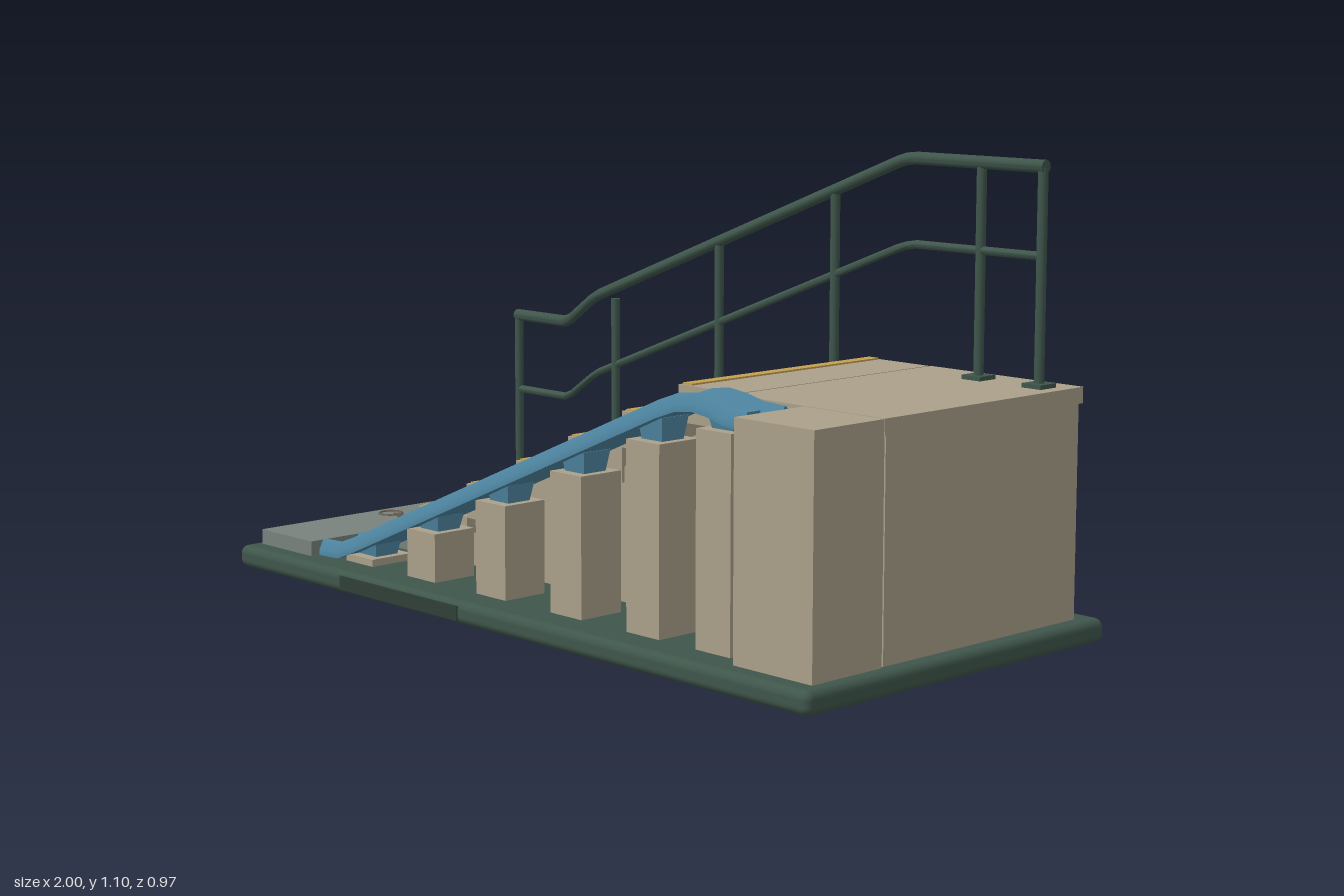
import * as THREE from 'three';
import { toCreasedNormals } from 'three/addons/utils/BufferGeometryUtils.js';
import { RoundedBoxGeometry } from 'three/addons/geometries/RoundedBoxGeometry.js';

const paint = (name, color) => Object.assign(new THREE.MeshStandardMaterial({ color }), { name });

// Sweeps a closed [z, y] profile along [x, y, zScale] stations, with end caps
function sweep(path, profile) {
  const n = profile.length;
  const pos = [];
  const index = [];
  path.forEach(([x, y, s = 1]) => profile.forEach(([pz, py]) => pos.push(x, y + py, pz * s)));
  for (let i = 0; i < path.length - 1; i++) {
    for (let j = 0; j < n; j++) {
      const k = (j + 1) % n;
      const a = i * n, b = a + n;
      index.push(a + j, b + j, b + k, a + j, b + k, a + k);
    }
  }
  const last = (path.length - 1) * n;
  const outline = profile.map(([z, y]) => new THREE.Vector2(z, y));
  THREE.ShapeUtils.triangulateShape(outline, []).forEach(([a, b, c]) => {
    index.push(a, b, c, last + a, last + c, last + b);
  });
  const geo = new THREE.BufferGeometry();
  geo.setAttribute('position', new THREE.Float32BufferAttribute(pos, 3));
  geo.setIndex(index);
  return toCreasedNormals(geo, 0.7);
}

const circle = (r, n = 14) => Array.from({ length: n }, (_, i) => {
  const a = (i / n) * Math.PI * 2;
  return [Math.cos(a) * r, Math.sin(a) * r];
});

export function createModel() {
  const model = new THREE.Group();
  model.name = 'stairWithBikeChannel';

  const green = paint('darkGreen', 0x3f564b);
  const stone = paint('sandStone', 0xaaa08a);
  const grey = paint('greyPaving', 0x78827c);
  const blue = paint('channelBlue', 0x4f87a3);
  const yellow = paint('nosingYellow', 0xc4a050);
  const brown = paint('symbolBrown', 0x6a6050);
  const dark = paint('plateDark', 0x2f4038);

  const add = (name, geo, mat, x = 0, y = 0, z = 0, parent = model) => {
    const mesh = new THREE.Mesh(geo, mat);
    mesh.name = name;
    mesh.position.set(x, y, z);
    parent.add(mesh);
    return mesh;
  };
  // Box given by its limits on each axis
  const block = (name, mat, x0, x1, y0, y1, z0, z1, parent = model) => add(name,
    new THREE.BoxGeometry(x1 - x0, y1 - y0, z1 - z0), mat,
    (x0 + x1) / 2, (y0 + y1) / 2, (z0 + z1) / 2, parent);
  const group = (name) => {
    const g = new THREE.Group();
    g.name = name;
    model.add(g);
    return g;
  };

  // Base with feet and a blank plate on the front edge
  add('base', new RoundedBoxGeometry(2, 0.055, 0.97, 4, 0.02), green, 0, 0.04, 0);
  for (const x of [-0.85, 0.85]) {
    for (const z of [-0.345, 0.345]) {
      block('foot', dark, x - 0.045, x + 0.045, 0, 0.02, z - 0.037, z + 0.037);
    }
  }
  block('frontPlate', dark, -0.57, -0.12, 0.023, 0.057, 0.48, 0.488);

  // Lower paving
  block('lowerPaving', grey, -0.97, -0.76, 0.06, 0.105, -0.44, 0.432);
  block('lowerPavingInner', grey, -0.76, -0.59, 0.06, 0.102, -0.42, 0.21);

  // Bicycle symbol: two wheels and a simple frame
  const symbol = group('bicycleSymbol');
  symbol.position.set(-0.873, 0.106, 0.065);
  for (const s of [-1, 1]) {
    const wheel = add('wheel', new THREE.TorusGeometry(0.03, 0.003, 6, 24), brown, s * 0.039, 0, 0, symbol);
    wheel.rotation.x = Math.PI / 2;
    const bar = add('frameBar', new THREE.BoxGeometry(0.05, 0.005, 0.005), brown, s * 0.02, 0, -0.012, symbol);
    bar.rotation.y = s * 0.6;
  }
  block('frameTopBar', brown, -0.025, 0.025, -0.002, 0.003, -0.003, 0.003, symbol);

  // Steps with nosing strips, each starting where the one below ends
  const steps = group('steps');
  for (let i = 0; i < 6; i++) {
    const x = -0.608 + i * 0.188;
    const top = 0.188 + i * 0.082;
    block('step', stone, x, x + 0.188, top - 0.085, top, -0.417, 0.21, steps);
    block('nosingStrip', yellow, x + 0.006, x + 0.036, top - 0.003, top + 0.004, -0.41, 0.203, steps);
  }

  // Sloped support under the steps
  const slope = new THREE.Shape([[-0.6, 0.06], [0.53, 0.06], [0.53, 0.553], [-0.6, 0.062]]
    .map(([x, y]) => new THREE.Vector2(x, y)));
  add('stairSupport', new THREE.ExtrudeGeometry(slope, { depth: 0.615, bevelEnabled: false }),
    stone, 0, 0, -0.412);

  // Upper landing
  block('landingBody', stone, 0.52, 0.96, 0.06, 0.565, -0.42, 0.215);
  block('landingSlab', stone, 0.52, 0.967, 0.56, 0.597, -0.426, 0.226);
  block('landingSide', stone, 0.735, 0.965, 0.06, 0.596, 0.225, 0.435);

  // Pillars and tapered brackets carrying the bike channel
  const channelZ = 0.337;
  const pillars = group('channelSupports');
  [[-0.61, 0.085, 0.125], [-0.365, 0.185, 0.222], [-0.105, 0.29, 0.333],
    [0.16, 0.395, 0.445], [0.415, 0.5, 0.554], [0.635, 0.55, 0.588]].forEach(([x, top, floor]) => {
    block('pillar', stone, x - 0.053, x + 0.053, 0.06, top, channelZ - 0.06, channelZ + 0.06, pillars);
    const bracket = add('bracket', new THREE.CylinderGeometry(0.057, 0.046, floor - top, 4, 1).toNonIndexed(),
      blue, x, (top + floor) / 2, channelZ, pillars);
    bracket.geometry.rotateY(Math.PI / 4);
    bracket.geometry.computeVertexNormals();
  });

  // Bike channel: a floor between two raised lips, flared at both ends
  const half = [[0.064, -0.04], [0.064, -0.025], [0.053, 0], [0.047, 0], [0.036, -0.028]];
  const lips = [...half, ...half.map(([z, y]) => [-z, y]).reverse()];
  const line = [[-0.76, 0.107, 1.1], [-0.69, 0.109, 1.06], [-0.65, 0.124], [-0.6, 0.145],
    [0.46, 0.597], [0.52, 0.618], [0.57, 0.624], [0.62, 0.618, 1.02], [0.67, 0.606, 1.06], [0.735, 0.602, 1.1]];
  add('bikeChannel', sweep(line, lips), blue, 0, 0, channelZ);

  // Handrail on the rear side
  const railing = group('railing');
  railing.position.z = -0.345;
  add('topRail', sweep([[-0.878, 0.598], [-0.685, 0.598], [-0.66, 0.608], [-0.58, 0.664], [-0.55, 0.68],
    [0.48, 1.075], [0.51, 1.084], [0.54, 1.087], [0.915, 1.087]], circle(0.015)), green, 0, 0, 0, railing);
  add('middleRail', sweep([[-0.875, 0.398], [-0.685, 0.398], [-0.66, 0.408], [-0.58, 0.462], [-0.55, 0.478],
    [0.48, 0.875], [0.51, 0.884], [0.54, 0.889], [0.91, 0.889]], circle(0.01)), green, 0, 0, 0, railing);
  [[-0.873, 0.105, 0.598], [-0.488, 0.188, 0.675], [-0.107, 0.352, 0.845],
    [0.284, 0.516, 0.998], [0.732, 0.597, 1.085], [0.907, 0.597, 1.085]].forEach(([x, foot, top]) => {
    add('post', new THREE.CylinderGeometry(0.0115, 0.0115, top - foot, 14), green, x, (top + foot) / 2, 0, railing);
    block('postPlate', green, x - 0.027, x + 0.027, foot - 0.002, foot + 0.01, -0.027, 0.027, railing);
  });

  return model;
}
